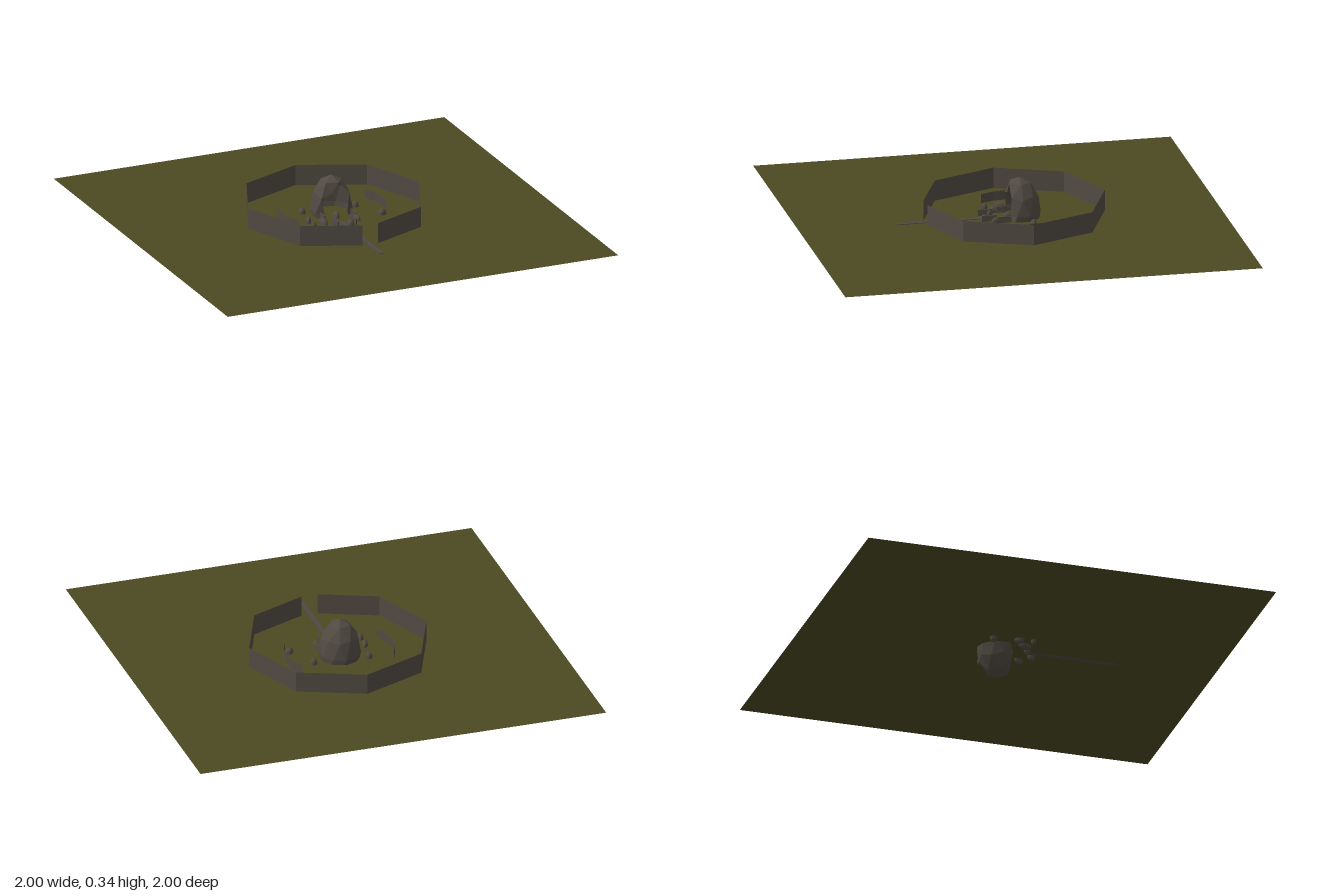
import * as THREE from 'three';

const GROUND_Y = 0.15;

function material(name, color, double = true) {
  const m = new THREE.MeshStandardMaterial({ color, flatShading: true });
  m.name = name;
  if (double) m.side = THREE.DoubleSide;
  return m;
}

// Upright strip following a list of [x, z] points
function wallGeometry(points, y0, y1) {
  const pos = [];
  for (let i = 0; i + 1 < points.length; i++) {
    const [ax, az] = points[i], [bx, bz] = points[i + 1];
    pos.push(ax, y0, az, bx, y0, bz, bx, y1, bz, ax, y0, az, bx, y1, bz, ax, y1, az);
  }
  const g = new THREE.BufferGeometry();
  g.setAttribute('position', new THREE.Float32BufferAttribute(pos, 3));
  g.computeVertexNormals();
  return g;
}

// Faceted ball with a vertex at each pole
function facetBall() {
  return new THREE.IcosahedronGeometry(1, 1).rotateZ(-Math.atan(2 / (1 + Math.sqrt(5))));
}

// Hollow faceted shell, cut open on its front side
function hollowShell() {
  const p = facetBall().getAttribute('position');
  const cut = 0.5, pos = [];
  for (let i = 0; i < p.count; i += 3) {
    const tri = [0, 1, 2].map((k) => [p.getX(i + k), p.getY(i + k), p.getZ(i + k)]);
    if (tri.every((v) => v[2] > cut - 0.01)) continue;
    tri.forEach(([x, y, z]) => pos.push(x, y, Math.min(z, cut)));
  }
  const g = new THREE.BufferGeometry();
  g.setAttribute('position', new THREE.Float32BufferAttribute(pos, 3));
  g.scale(0.1, 0.17, 0.103);
  g.computeVertexNormals();
  return g;
}

export function createModel() {
  const root = new THREE.Group();
  root.name = 'rockShrine';
  const grass = material('grass olive', 0x4c4a22);
  const rock = material('rock grey', 0x504a42);
  const dirt = material('path grey', 0x4e484b);

  const add = (name, geometry, mat, x = 0, y = 0, z = 0, parent = root) => {
    const mesh = new THREE.Mesh(geometry, mat);
    mesh.name = name;
    mesh.position.set(x, y, z);
    parent.add(mesh);
    return mesh;
  };

  // Flat ground
  add('ground', new THREE.PlaneGeometry(2, 2).rotateX(-Math.PI / 2), grass, 0, GROUND_Y, 0);

  // Narrow path through the entrance
  add('path', new THREE.BoxGeometry(0.02, 0.004, 0.46), dirt, -0.004, GROUND_Y + 0.001, 0.3);

  // Octagonal outer wall with a gap at the front, and a low curved wall each side
  for (const side of [-1, 1]) {
    const outer = [[side * 0.04, 0.395]];
    for (let i = 1; i <= 4; i++) {
      const a = (i * Math.PI) / 4;
      outer.push([side * 0.437 * Math.sin(a), -0.027 + 0.437 * Math.cos(a)]);
    }
    add('outerWall', wallGeometry(outer, GROUND_Y, 0.25), rock);

    const inner = [];
    for (let i = 0; i <= 4; i++) {
      const a = ((i - 2) * Math.PI) / 12;
      inner.push([side * 0.26 * Math.cos(a), -0.05 + 0.26 * Math.sin(a)]);
    }
    add('innerWall', wallGeometry(inner, GROUND_Y, 0.195), rock);
  }

  // Central hollow boulder
  add('hollowBoulder', hollowShell(), rock, 0, 0.175, -0.053);

  // Half-buried stones: x, z, half width, half depth, turn
  const stones = [
    [-0.125, -0.11, 0.018, 0.018, 0.3], [0.14, -0.092, 0.018, 0.016, 0],
    [-0.146, 0.01, 0.014, 0.025, -0.4], [-0.148, 0.08, 0.014, 0.014, 0],
    [-0.09, 0.055, 0.018, 0.033, 0.1], [0.213, 0.052, 0.022, 0.018, 0.4],
    [0.074, 0.075, 0.013, 0.024, 0.2], [0.022, 0.12, 0.017, 0.019, 0],
    [0, 0, 0.016, 0.026, 0], [-0.04, 0.08, 0.012, 0.016, 0.5],
  ];
  const group = new THREE.Group();
  group.name = 'stones';
  root.add(group);
  for (const [x, z, w, d, turn] of stones) {
    const stone = add('stone', facetBall(), rock, x, 0.151, z, group);
    stone.scale.set(w, 0.028, d);
    stone.rotation.y = turn;
  }

  // Thin upright slabs lining the path
  for (const [x, z, depth] of [[-0.047, 0.1, 0.07], [0.045, 0.1, 0.07], [-0.075, 0.01, 0.06], [0.078, 0.03, 0.06]]) {
    add('pathSlab', new THREE.BoxGeometry(0.006, 0.03, depth), rock, x, GROUND_Y + 0.015, z);
  }

  return root;
}
